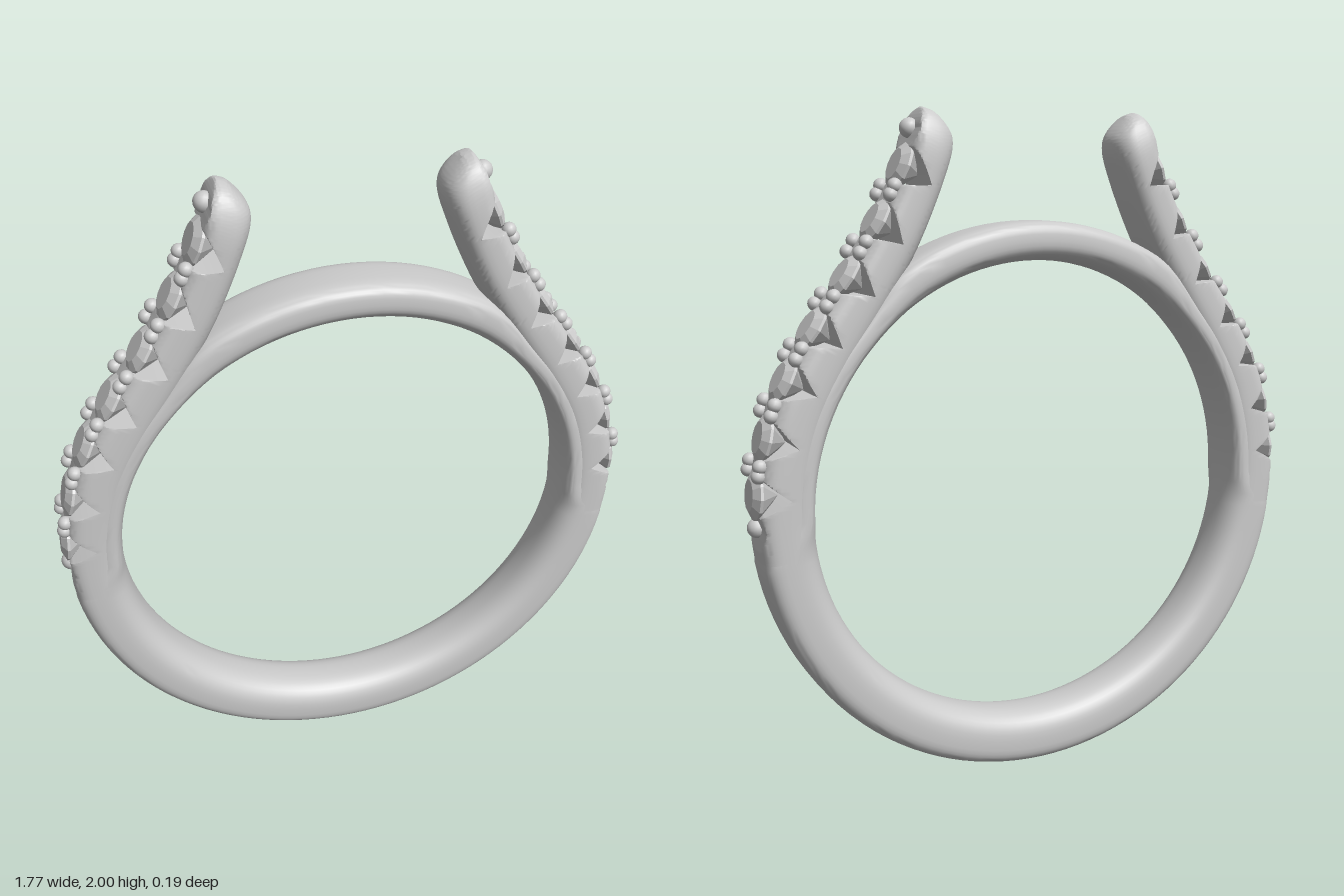
import * as THREE from 'three';
import { toCreasedNormals } from 'three/addons/utils/BufferGeometryUtils.js';

const CY = 0.867;      // height of the finger hole's centre
const HALF = 0.097;    // half width of the band
const SIDES = 40;      // points round each cross-section
const V2 = (x, y) => new THREE.Vector2(x, y);
const metal = new THREE.MeshStandardMaterial({ color: 0xcccccc });
const gem = new THREE.MeshStandardMaterial({ color: 0xcccccc, flatShading: true });

// Rounded cross-section between an outer and an inner point; "cut" planes the outer face down
function section(outer, inner, half, cut = 0) {
  const depth = outer.distanceTo(inner);
  const pts = [];
  for (let j = 0; j < SIDES; j++) {
    const a = (j / SIDES) * Math.PI * 2;
    const c = Math.cos(a), s = Math.sin(a);
    const e = 2 / (c > 0 ? 3.6 : 2.5);
    const n = Math.sign(c) * Math.abs(c) ** e;
    const z = Math.sign(s) * Math.abs(s) ** e * half;
    const t = Math.max((1 - n) / 2, cut / depth);
    pts.push([outer.x + (inner.x - outer.x) * t, outer.y + (inner.y - outer.y) * t, z]);
  }
  return pts;
}

// Skin a row of cross-sections, either closed into a loop or capped at the ends
function loft(rows, closed) {
  const pos = rows.flat(2), idx = [];
  const n = rows.length;
  for (let i = 0; i < (closed ? n : n - 1); i++) {
    for (let j = 0; j < SIDES; j++) {
      const k = (j + 1) % SIDES, up = ((i + 1) % n) * SIDES, lo = i * SIDES;
      idx.push(lo + j, up + j, lo + k, up + j, up + k, lo + k);
    }
  }
  if (!closed) {
    [0, n - 1].forEach((r) => {
      const centre = pos.length / 3;
      for (let c = 0; c < 3; c++) pos.push(rows[r].reduce((sum, p) => sum + p[c], 0) / SIDES);
      for (let j = 0; j < SIDES; j++) {
        const a = r * SIDES + j, b = r * SIDES + ((j + 1) % SIDES);
        idx.push(centre, r ? b : a, r ? a : b);
      }
    });
  }
  const g = new THREE.BufferGeometry();
  g.setAttribute('position', new THREE.Float32BufferAttribute(pos, 3));
  g.setIndex(idx);
  return toCreasedNormals(g, 0.6);
}

function add(parent, name, geometry, material) {
  const m = new THREE.Mesh(geometry, material);
  m.name = name;
  parent.add(m);
  return m;
}

// Full hoop: thick below, slim where the arms cover it, medium across the top
function bandGeometry() {
  const rows = [];
  const { smoothstep, lerp } = THREE.MathUtils;
  for (let i = 0; i < 120; i++) {
    const a = (i / 120) * Math.PI * 2;
    const rise = THREE.MathUtils.radToDeg(Math.asin(Math.sin(a)));
    let r = lerp(0.867, 0.775, smoothstep(rise, -7, -1));
    r = lerp(r, 0.817, smoothstep(rise, 42, 60));
    const at = (q) => V2(Math.cos(a) * q, CY + Math.sin(a) * q);
    rows.push(section(at(r), at(0.7), rise > -4 ? HALF - 0.002 : HALF));
  }
  return loft(rows, true);
}

// Outer and inner edges of one arm, from the band's side up to the tip
const outerEdge = new THREE.SplineCurve([
  V2(0.857, 0.75), V2(0.867, 0.87), V2(0.852, 1.02), V2(0.80, 1.2), V2(0.70, 1.38),
  V2(0.58, 1.55), V2(0.47, 1.73), V2(0.405, 1.87), V2(0.388, 1.95), V2(0.345, 2.0)]);
const innerEdge = new THREE.SplineCurve([
  V2(0.696, 0.77), V2(0.702, 0.87), V2(0.69, 0.99), V2(0.652, 1.13), V2(0.575, 1.28),
  V2(0.47, 1.45), V2(0.375, 1.61), V2(0.295, 1.79), V2(0.262, 1.91), V2(0.315, 1.99)]);

// Curve parameter at a given height on the outer edge
function atHeight(y) {
  let lo = 0, hi = 1;
  for (let i = 0; i < 30; i++) {
    const mid = (lo + hi) / 2;
    if (outerEdge.getPoint(mid).y < y) lo = mid; else hi = mid;
  }
  return lo;
}

const stoneU = [0.94, 1.10, 1.26, 1.40, 1.54, 1.69, 1.84].map(atHeight);
const endU = [0.845, 1.945].map(atHeight);

// Arm with a V notch under every stone and a shallow cut under each end bead
function armGeometry() {
  const stops = [...stoneU, ...endU];
  for (let i = 0; i <= 260; i++) stops.push(i / 260);
  stops.sort((a, b) => a - b);
  const notches = stoneU.map((u) => [outerEdge.getPoint(u), 0.085, 1.5])
    .concat(endU.map((u) => [outerEdge.getPoint(u), 0.018, 0.28]));
  return loft(stops.map((u) => {
    const o = outerEdge.getPoint(u);
    const cut = Math.max(0, ...notches.map(([p, d, slope]) => d - slope * p.distanceTo(o)));
    const k = Math.max(0, (u - 0.78) / 0.22);
    const half = HALF * Math.max(0.12, Math.sqrt(Math.max(0, 1 - k * k)));
    return section(o, innerEdge.getPoint(u), half, cut);
  }), false);
}

function buildArm() {
  const arm = new THREE.Group();
  add(arm, 'armBody', armGeometry(), metal);

  // Place a part on the outer edge, its own y axis pointing out of the metal
  const place = (mesh, u, lift, z = 0) => {
    const p = outerEdge.getPoint(u), t = outerEdge.getTangent(u);
    mesh.position.set(p.x + t.y * lift, p.y - t.x * lift, z);
    mesh.rotation.z = Math.atan2(-t.x, t.y) - Math.PI / 2;
  };

  // Faceted stones
  const stoneGeo = new THREE.LatheGeometry(
    [V2(0, -0.065), V2(0.074, -0.006), V2(0.074, 0.002), V2(0.046, 0.018), V2(0, 0.018)], 12);
  stoneU.forEach((u) => place(add(arm, 'stone', stoneGeo, gem), u, -0.006));

  // Paired prong beads on both sides of every gap between stones
  const beadGeo = new THREE.SphereGeometry(0.021, 14, 10);
  for (let i = 0; i < stoneU.length - 1; i++) {
    const mid = (stoneU[i] + stoneU[i + 1]) / 2;
    for (const z of [-0.056, 0.056]) {
      for (const du of [-0.009, 0.009]) place(add(arm, 'prongBead', beadGeo, metal), mid + du, 0.004, z);
    }
  }

  // Single bead closing each end of the row
  const endGeo = new THREE.SphereGeometry(0.029, 16, 12);
  endU.forEach((u) => place(add(arm, 'endBead', endGeo, metal), u, -0.012));
  return arm;
}

export function createModel() {
  const model = new THREE.Group();
  model.name = 'ring';
  add(model, 'band', bandGeometry(), metal);

  // The arms are alike; half a turn makes the second
  const left = buildArm();
  left.name = 'leftArm';
  const right = buildArm();
  right.name = 'rightArm';
  right.rotation.y = Math.PI;
  model.add(left, right);
  return model;
}
